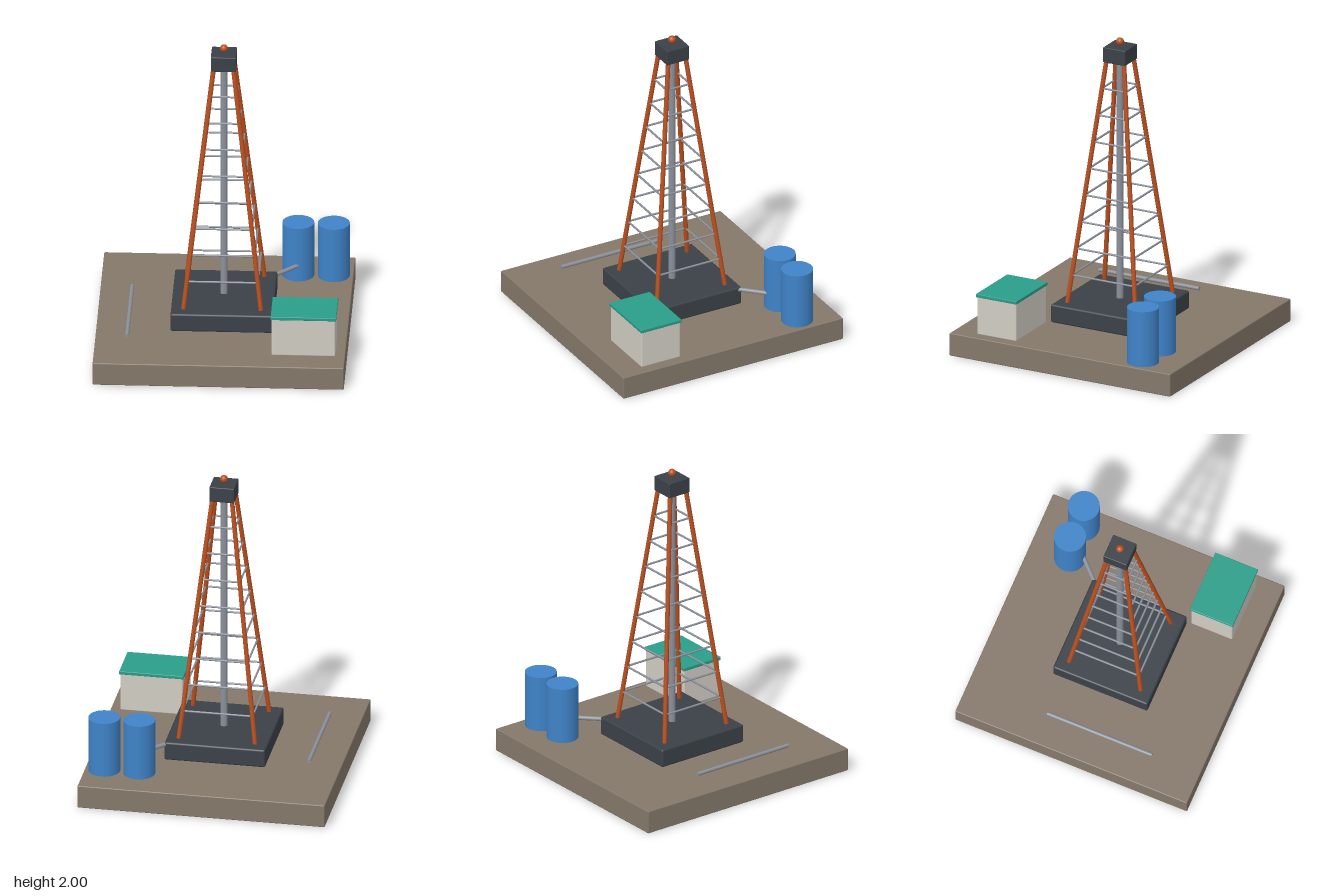
import * as THREE from 'three';
import { RoundedBoxGeometry } from 'three/addons/geometries/RoundedBoxGeometry.js';

const mat = (name, color) => {
  const m = new THREE.MeshStandardMaterial({ color });
  m.name = name;
  return m;
};

export function createModel() {
  const earth = mat('earth brown', 0x84786a);
  const dark = mat('dark steel', 0x3a4147);
  const rust = mat('rust orange', 0xb9501f);
  const steel = mat('pipe steel', 0x8b909a);
  const blue = mat('tank blue', 0x3f83c8);
  const wall = mat('cabin wall', 0xd0cdc3);
  const teal = mat('roof teal', 0x2a9d8a);

  const model = new THREE.Group();
  model.name = 'drillingRig';

  const add = (name, geometry, material, x, y, z, parent = model) => {
    const mesh = new THREE.Mesh(geometry, material);
    mesh.name = name;
    mesh.position.set(x, y, z);
    parent.add(mesh);
    return mesh;
  };
  const block = (name, w, h, d, r, material, x, y, z, parent) =>
    add(name, new RoundedBoxGeometry(w, h, d, 2, r), material, x, y, z, parent);

  // Round bar between two points
  const up = new THREE.Vector3(0, 1, 0);
  const bar = (name, a, b, r, material, parent, sides = 12) => {
    const from = new THREE.Vector3(...a), to = new THREE.Vector3(...b);
    const dir = to.clone().sub(from);
    const mid = from.clone().add(to).multiplyScalar(0.5);
    const mesh = add(name, new THREE.CylinderGeometry(r, r, dir.length(), sides), material, mid.x, mid.y, mid.z, parent);
    mesh.quaternion.setFromUnitVectors(up, dir.normalize());
    return mesh;
  };

  // Ground slab and drill floor
  block('groundSlab', 1.57, 0.15, 1.57, 0.006, earth, 0, 0.075, 0);
  block('drillFloor', 0.64, 0.12, 0.64, 0.012, dark, 0, 0.213, 0);

  // Derrick: four leaning legs with rings of rungs
  const derrick = new THREE.Group();
  derrick.name = 'derrick';
  model.add(derrick);
  const bottom = 0.275, top = 1.85;
  const spread = (t) => THREE.MathUtils.lerp(0.242, 0.063, t);
  for (const sx of [-1, 1]) {
    for (const sz of [-1, 1]) {
      bar('derrickLeg', [sx * spread(0), bottom, sz * spread(0)],
        [sx * spread(1), top, sz * spread(1)], 0.0145, rust, derrick);
    }
  }
  for (let i = 1; i <= 8; i++) {
    const t = i / 9, s = spread(t), y = THREE.MathUtils.lerp(bottom + 0.005, top, t);
    for (const side of [-1, 1]) {
      bar('rung', [-s, y, side * s], [s, y, side * s], 0.0065, steel, derrick, 8);
      bar('rung', [side * s, y, -s], [side * s, y, s], 0.0065, steel, derrick, 8);
    }
  }
  bar('drillPipe', [0, 0.2, 0], [0, 1.87, 0], 0.023, steel, derrick, 16);
  block('crownBlock', 0.158, 0.1, 0.158, 0.005, dark, 0, 1.897, 0, derrick);
  add('beacon', new THREE.SphereGeometry(0.025, 20, 14), rust, 0, 1.975, 0, derrick);

  // Mud tanks with their feed pipe
  for (const x of [0.44, 0.662]) {
    add('mudTank', new THREE.CylinderGeometry(0.1, 0.1, 0.366, 32), blue, x, 0.332, -0.525);
  }
  bar('feedPipe', [0.29, 0.255, -0.283], [0.45, 0.255, -0.445], 0.0135, steel, model);

  // Spare pipe beside the rig
  bar('sparePipe', [-0.585, 0.187, -0.245], [-0.585, 0.187, 0.465], 0.0125, steel, model);

  // Site cabin
  const cabin = new THREE.Group();
  cabin.name = 'cabin';
  model.add(cabin);
  block('cabinWalls', 0.398, 0.255, 0.278, 0.008, wall, 0.525, 0.2775, 0.483, cabin);
  block('cabinRoof', 0.41, 0.022, 0.29, 0.004, teal, 0.525, 0.409, 0.483, cabin);

  return model;
}
